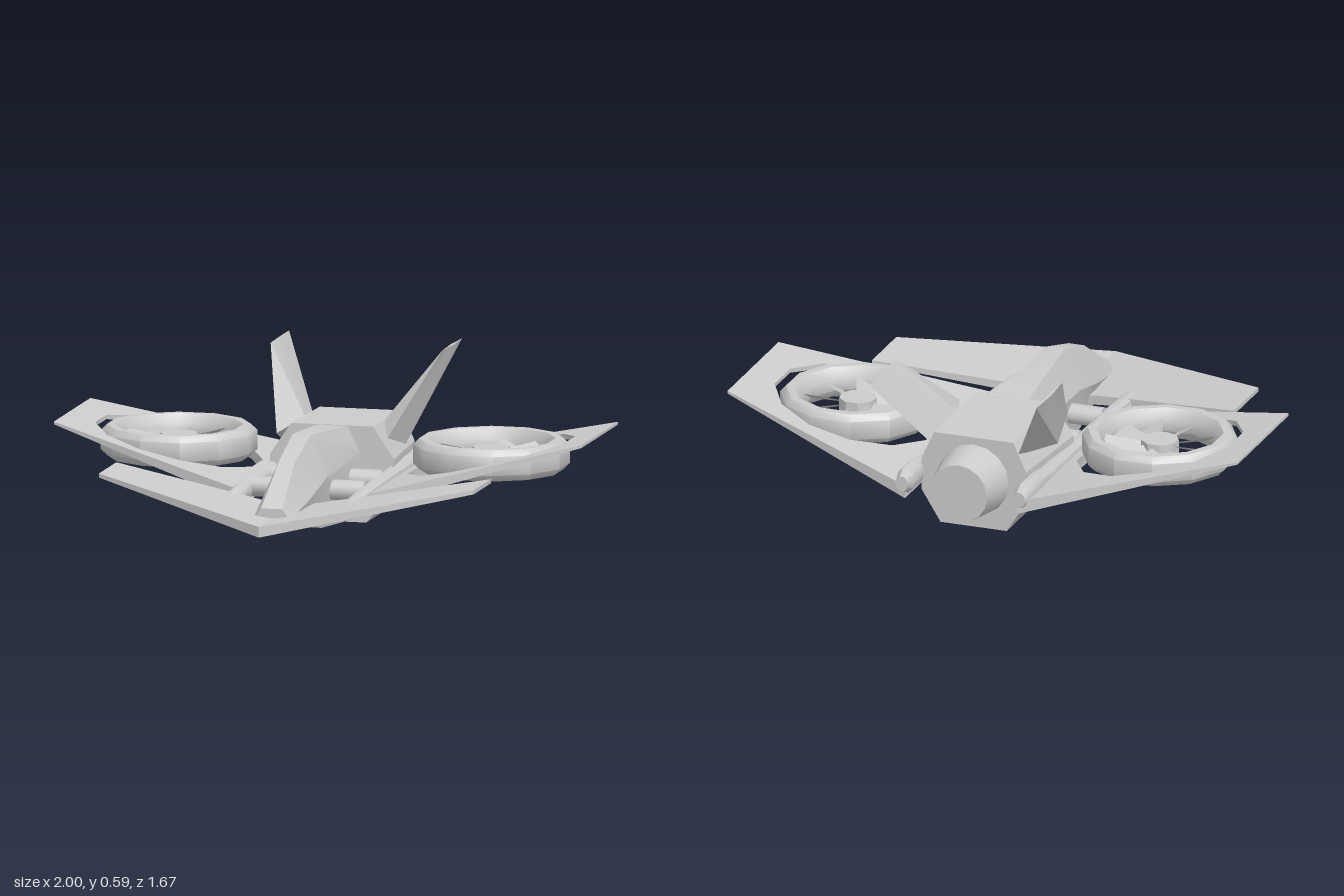
import * as THREE from 'three';
import { toCreasedNormals } from 'three/addons/utils/BufferGeometryUtils.js';

const material = new THREE.MeshStandardMaterial({ color: 0xcccccc });
const thinMaterial = new THREE.MeshStandardMaterial({ color: 0xcccccc, side: THREE.DoubleSide });

// Closed, capped skin through rings of [x, y, z]; rings run counter-clockwise seen from the first end
function loft(rings) {
  const n = rings[0].length, index = [], last = (rings.length - 1) * n;
  for (let r = 0; r < rings.length - 1; r++) {
    for (let i = 0; i < n; i++) {
      const a = r * n + i, b = r * n + (i + 1) % n;
      index.push(a, a + n, b, b, a + n, b + n);
    }
  }
  for (let i = 1; i < n - 1; i++) {
    index.push(0, i, i + 1, last, last + i + 1, last + i);
  }
  const g = new THREE.BufferGeometry();
  g.setAttribute('position', new THREE.Float32BufferAttribute(rings.flat(2), 3));
  g.setIndex(index);
  return g;
}

// Symmetric fuselage ring from its right-hand corners, listed bottom to top
function hullRing(z, corners) {
  const side = corners.map(([x, y]) => [x, y, z]);
  return [...side, ...side.map(([x, y]) => [-x, y, z]).reverse()];
}

// Thin lifting surface: plan outline in [x, z], height and thickness given by x
function panel(outline, height, thickness, hole) {
  const shape = new THREE.Shape(outline.map(([x, z]) => new THREE.Vector2(x, -z)));
  if (hole) shape.holes.push(new THREE.Path(hole.map(([x, z]) => new THREE.Vector2(x, -z))));
  const g = new THREE.ExtrudeGeometry(shape, { depth: 1, bevelEnabled: false });
  g.rotateX(-Math.PI / 2);
  const p = g.attributes.position;
  for (let i = 0; i < p.count; i++) {
    const x = p.getX(i);
    p.setY(i, height(x) + (p.getY(i) - 0.5) * thickness(x));
  }
  return g;
}

// Mirror across x = 0, swapping corners so faces still point outward
function mirrored(geometry) {
  const g = geometry.index ? geometry.toNonIndexed() : geometry.clone();
  const p = g.attributes.position, a = new THREE.Vector3(), b = new THREE.Vector3();
  g.scale(-1, 1, 1);
  for (let i = 0; i < p.count; i += 3) {
    a.fromBufferAttribute(p, i + 1);
    b.fromBufferAttribute(p, i + 2);
    p.setXYZ(i + 1, b.x, b.y, b.z);
    p.setXYZ(i + 2, a.x, a.y, a.z);
  }
  return g;
}

export function createModel() {
  const model = new THREE.Group();
  model.name = 'ductedFanAircraft';

  const add = (name, geometry, mat = material, crease = 0.6) => {
    const mesh = new THREE.Mesh(toCreasedNormals(geometry, crease), mat);
    mesh.name = name;
    model.add(mesh);
  };
  const addPair = (name, geometry, mat, crease) => {
    add(name + 'Left', geometry, mat, crease);
    add(name + 'Right', mirrored(geometry), mat, crease);
  };

  // Slim forward fuselage with faceted canopy
  add('forwardFuselage', loft([
    hullRing(0.65, [[0.05, 0.12], [0.07, 0.15], [0.04, 0.19]]),
    hullRing(0.43, [[0.06, 0.09], [0.085, 0.19], [0.03, 0.33]]),
    hullRing(0.215, [[0.075, 0.05], [0.096, 0.24], [0.035, 0.395]]),
    hullRing(-0.23, [[0.1, 0.015], [0.106, 0.26], [0.06, 0.355]]),
  ]), material, 0.4);

  // Broad engine body and tail nozzle
  add('engineBody', loft([
    hullRing(-0.215, [[0.13, 0], [0.235, 0.12], [0.235, 0.24], [0.155, 0.358]]),
    hullRing(-0.625, [[0.13, 0], [0.205, 0.12], [0.205, 0.24], [0.155, 0.35]]),
  ]), material, 0.3);
  const nozzle = new THREE.CylinderGeometry(0.14, 0.112, 0.17, 16);
  nozzle.rotateX(Math.PI / 2);
  nozzle.translate(0, 0.185, -0.695);
  add('nozzle', nozzle);

  // Swept foreplane
  addPair('foreplane', panel(
    [[0, 0.835], [0.71, 0.44], [0.71, 0.19], [0.1, 0.36], [0, 0.36]],
    (x) => 0.134 + 0.16 * x, (x) => 0.04 - 0.035 * x));

  // Main wing with an opening for the fan
  const fan = { x: 0.592, y: 0.27, z: -0.262 };
  const hole = Array.from({ length: 12 }, (_, i) => {
    const a = (i + 0.5) * Math.PI / 6;
    return [fan.x + 0.307 * Math.cos(a), fan.z + 0.307 * Math.sin(a)];
  });
  addPair('wing', panel(
    [[0.22, 0.23], [1, -0.01], [1, -0.535], [0.22, -0.755]],
    (x) => 0.16 + 0.26 * (x - 0.25), (x) => 0.06 - 0.05 * x, hole));

  // Fan duct ring
  const duct = new THREE.LatheGeometry([
    [0.207, 0.02], [0.207, -0.025], [0.235, -0.06], [0.262, -0.06], [0.287, -0.035],
    [0.287, 0.035], [0.265, 0.057], [0.235, 0.057], [0.207, 0.02],
  ].map(([r, y]) => new THREE.Vector2(r, y)), 12);
  duct.rotateY(Math.PI / 12);
  duct.translate(fan.x, fan.y, fan.z);
  addPair('fanDuct', duct, material, 0.8);

  // Fan hub and pitched blades
  const hub = new THREE.CylinderGeometry(0.07, 0.07, 0.05, 9);
  hub.translate(fan.x, fan.y, fan.z);
  addPair('fanHub', hub);
  for (let i = 0; i < 9; i++) {
    const blade = new THREE.PlaneGeometry(0.15, 1);
    const p = blade.attributes.position;
    for (let k = 0; k < 4; k++) p.setY(k, p.getY(k) * (p.getX(k) > 0 ? 0.105 : 0.04));
    blade.rotateX(-Math.PI / 2 + 0.5);
    blade.translate(0.135, 0, 0);
    blade.rotateY(i * Math.PI * 2 / 9);
    blade.translate(fan.x, fan.y, fan.z);
    addPair('fanBlade' + (i + 1), blade, thinMaterial);
  }

  // Side booms with rounded rear pods
  const boomRing = ([z, y, rx, ry]) => Array.from({ length: 10 }, (_, i) => {
    const a = i * Math.PI / 5;
    return [0.23 + rx * Math.cos(a), y + ry * Math.sin(a), z];
  });
  addPair('boom', loft([
    [0.495, 0.16, 0.024, 0.012], [0.4, 0.165, 0.03, 0.025], [0.2, 0.17, 0.032, 0.035],
    [-0.5, 0.18, 0.032, 0.04], [-0.62, 0.185, 0.036, 0.05], [-0.72, 0.185, 0.036, 0.05],
    [-0.762, 0.185, 0.024, 0.03],
  ].map(boomRing)));

  // Cross tubes from the fuselage to the booms
  for (const [name, z] of [['frontCrossTube', 0.135], ['rearCrossTube', -0.11]]) {
    const tube = new THREE.CylinderGeometry(0.038, 0.038, 0.44, 12);
    tube.rotateZ(Math.PI / 2);
    tube.translate(0, 0.18, z);
    add(name, tube);
  }

  // Canted tail fins
  addPair('tailFin', loft([
    [[0.325, 0.59, -0.565], [0.331, 0.588, -0.7], [0.328, 0.59, -0.84], [0.321, 0.59, -0.7]],
    [[0.21, 0.318, -0.215], [0.236, 0.27, -0.38], [0.17, 0.3, -0.615], [0.15, 0.35, -0.4]],
  ]), material, 0.3);

  return model;
}
